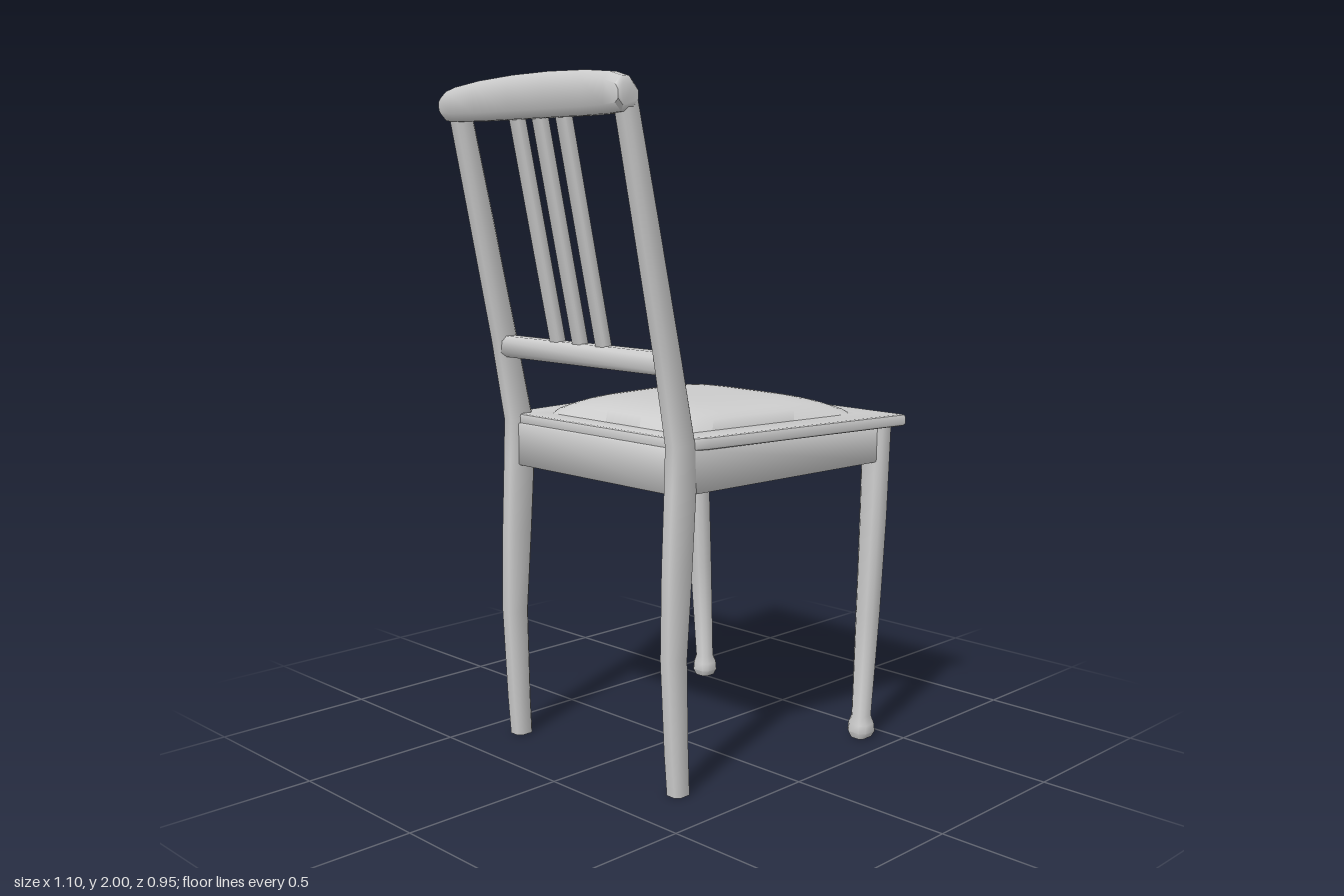
import * as THREE from 'three';
import { toCreasedNormals } from 'three/addons/utils/BufferGeometryUtils.js';

const material = new THREE.MeshStandardMaterial({ color: 0xcccccc });
const AXES = { x: ['y', 'z'], y: ['z', 'x'], z: ['x', 'y'] };

export function createModel() {
  const chair = new THREE.Group();
  chair.name = 'chair';

  const add = (name, geometry, crease = 0.7) => {
    const mesh = new THREE.Mesh(toCreasedNormals(geometry, crease), material);
    mesh.name = name;
    chair.add(mesh);
  };

  // Bar with bevelled corners along an axis; each section is [t, a0, a1, b0, b1],
  // where a, b are the two other axes in cyclic order
  const bar = (name, axis, sections, bevel = 0.22) => {
    const [a, b] = AXES[axis];
    const pos = [], index = [], n = 8;
    const point = (t, pa, pb) => {
      const p = { [axis]: t, [a]: pa, [b]: pb };
      pos.push(p.x, p.y, p.z);
    };
    sections.forEach(([t, a0, a1, b0, b1]) => {
      const c = bevel * Math.min(a1 - a0, b1 - b0);
      [[a0 + c, b0], [a1 - c, b0], [a1, b0 + c], [a1, b1 - c],
        [a1 - c, b1], [a0 + c, b1], [a0, b1 - c], [a0, b0 + c]].forEach(([u, v]) => point(t, u, v));
    });
    for (let s = 0; s < sections.length - 1; s++) {
      for (let i = 0; i < n; i++) {
        const p = s * n + i, q = s * n + (i + 1) % n;
        index.push(p, q, q + n, p, q + n, p + n);
      }
    }
    const last = (sections.length - 1) * n;
    for (let i = 1; i < n - 1; i++) index.push(0, i + 1, i, last, last + i, last + i + 1);
    const g = new THREE.BufferGeometry();
    g.setAttribute('position', new THREE.Float32BufferAttribute(pos, 3));
    g.setIndex(index);
    add(name, g, 0.9);
  };

  // Back legs running up into the raked back posts: [y, x0, x1]
  const post = [[0, -0.34, -0.28], [0.12, -0.35, -0.285], [0.4, -0.365, -0.29], [0.65, -0.36, -0.27],
    [0.87, -0.35, -0.255], [1.0, -0.345, -0.26], [1.25, -0.39, -0.315], [1.6, -0.463, -0.395], [1.94, -0.535, -0.475]];
  for (const [name, z0, z1] of [['leftPost', -0.41, -0.355], ['rightPost', 0.29, 0.345]]) {
    bar(name, 'y', post.map(([y, x0, x1]) => [y, z0, z1, x0, x1]));
  }

  // Front legs: tapered, with a small swelling foot; [y, z0, z1, x0, x1]
  bar('frontLegRight', 'y', [[0, 0.37, 0.42, 0.39, 0.45], [0.02, 0.358, 0.432, 0.383, 0.457],
    [0.045, 0.36, 0.43, 0.385, 0.455], [0.07, 0.37, 0.42, 0.392, 0.447],
    [0.4, 0.37, 0.435, 0.4, 0.465], [0.7, 0.368, 0.442, 0.412, 0.48], [0.985, 0.365, 0.445, 0.42, 0.49]]);
  bar('frontLegLeft', 'y', [[0, -0.405, -0.352, 0.488, 0.543], [0.02, -0.415, -0.342, 0.48, 0.552],
    [0.045, -0.413, -0.344, 0.482, 0.55], [0.07, -0.405, -0.352, 0.488, 0.54],
    [0.4, -0.425, -0.357, 0.475, 0.538], [0.7, -0.44, -0.36, 0.463, 0.53], [0.985, -0.455, -0.362, 0.455, 0.525]]);

  // Apron boards under the seat
  bar('apronRight', 'x', [[-0.29, 0.86, 0.99, 0.3, 0.34], [0.44, 0.875, 0.99, 0.39, 0.435]], 0.08);
  bar('apronLeft', 'x', [[-0.29, 0.86, 0.99, -0.405, -0.365], [0.48, 0.875, 0.99, -0.445, -0.4]], 0.08);
  bar('apronFront', 'z', [[-0.4, 0.465, 0.51, 0.875, 0.99], [0.4, 0.435, 0.48, 0.875, 0.99]], 0.08);
  bar('apronBack', 'z', [[-0.37, -0.325, -0.28, 0.86, 0.99], [0.3, -0.325, -0.28, 0.86, 0.99]], 0.08);

  // Seat frame: tapered outline with an opening under the cushion
  const vec = ([x, z]) => new THREE.Vector2(x, z);
  const rim = new THREE.Shape([[-0.31, -0.37], [-0.265, -0.4], [-0.23, -0.408], [0.522, -0.467],
    [0.497, 0.467], [-0.23, 0.352], [-0.265, 0.338], [-0.31, 0.3]].map(vec));
  rim.holes.push(new THREE.Path([[-0.22, -0.29], [-0.22, 0.245], [0.385, 0.325], [0.41, -0.335]].map(vec)));
  const rimGeometry = new THREE.ExtrudeGeometry(rim, {
    depth: 0.02, bevelEnabled: true, bevelThickness: 0.008, bevelSize: 0.008, bevelSegments: 2 });
  rimGeometry.rotateX(Math.PI / 2).translate(0, 1.01, 0);
  add('seatFrame', rimGeometry);

  // Domed cushion fitted to four corners
  const cushion = new THREE.BoxGeometry(2, 2, 2, 24, 1, 24);
  const p = cushion.attributes.position;
  const lerp = THREE.MathUtils.lerp;
  for (let i = 0; i < p.count; i++) {
    const u = p.getX(i), v = p.getZ(i), s = (u + 1) / 2, t = (v + 1) / 2;
    const x = lerp(lerp(-0.243, -0.25, t), lerp(0.442, 0.412, t), s);
    const z = lerp(lerp(-0.315, -0.365, s), lerp(0.268, 0.358, s), t);
    const dome = Math.pow(Math.max(0, (1 - u ** 4) * (1 - v ** 4)), 0.6);
    p.setXYZ(i, x, p.getY(i) > 0 ? 1.018 + 0.057 * dome : 0.99, z);
  }
  add('cushion', cushion, 0.8);

  // Crest rail with a gently arched top and rounded ends
  const crest = [[-0.412, 1.9, 1.955], [-0.405, 1.885, 1.968], [-0.36, 1.882, 1.978], [-0.25, 1.88, 1.99], [-0.1, 1.88, 1.998],
    [0.05, 1.88, 2], [0.2, 1.88, 1.996], [0.29, 1.882, 1.988], [0.335, 1.885, 1.975], [0.347, 1.9, 1.955]];
  bar('crestRail', 'z', crest.map(([z, y0, y1]) => [z, -0.552, -0.482, y0, y1]), 0.3);

  // Lower back rail and three slats
  bar('lowerRail', 'z', [[-0.37, -0.38, -0.318, 1.195, 1.258], [0.3, -0.38, -0.318, 1.195, 1.258]]);
  for (const z of [-0.132, -0.034, 0.065]) {
    bar('slat', 'y', [[1.24, z - 0.021, z + 0.021, -0.366, -0.334], [1.9, z - 0.021, z + 0.021, -0.51, -0.478]], 0.12);
  }
  return chair;
}
